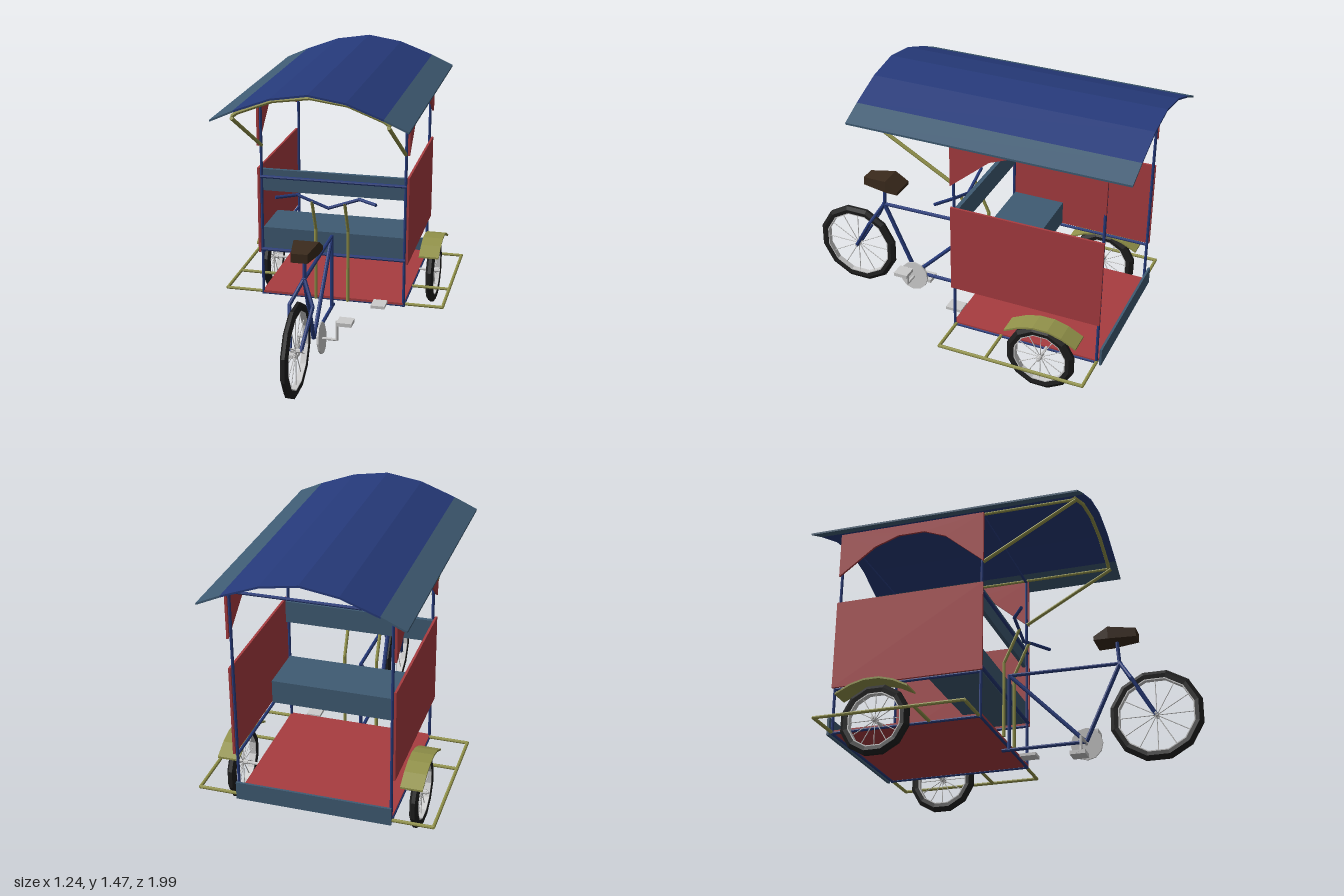
import * as THREE from 'three';

const mat = (color, extra = {}) => new THREE.MeshStandardMaterial({ color, flatShading: true, ...extra });
const BLUE = mat(0x263a7a), TEAL = mat(0x3f5b73), RED = mat(0xa83c40), OLIVE = mat(0x92924a);
const BLACK = mat(0x1e1e1e), METAL = mat(0xcccccc), BROWN = mat(0x3a2a1c);
const V = (p) => new THREE.Vector3(...p);

export function createModel() {
  const model = new THREE.Group();
  model.name = 'pedalRickshaw';

  const add = (name, geo, material, pos = [0, 0, 0], parent = model) => {
    const m = new THREE.Mesh(geo, material);
    m.name = name;
    m.position.set(...pos);
    parent.add(m);
    return m;
  };
  const box = (name, material, size, pos) => add(name, new THREE.BoxGeometry(...size), material, pos);

  // Straight round bars along a list of points
  const bars = (name, material, r, points, parent = model) => {
    const g = new THREE.Group();
    g.name = name;
    for (let i = 0; i < points.length - 1; i++) {
      const a = V(points[i]), b = V(points[i + 1]), d = b.clone().sub(a);
      const geo = new THREE.CylinderGeometry(r, r, d.length() + r * 0.6, 8);
      const m = add(name + 'Bar', geo, material, a.clone().add(b).multiplyScalar(0.5).toArray(), g);
      m.quaternion.setFromUnitVectors(new THREE.Vector3(0, 1, 0), d.normalize());
    }
    parent.add(g);
  };

  // Thin sheet of a given profile, extruded from z0 to z1
  const sheet = (name, material, top, thick, z0, z1, x = 0) => {
    const under = top.map(([px, py]) => [px, py - thick]).reverse();
    const shape = new THREE.Shape([...top, ...under].map((p) => new THREE.Vector2(...p)));
    const geo = new THREE.ExtrudeGeometry(shape, { depth: z1 - z0, bevelEnabled: false });
    return add(name, geo, material, [x, 0, z0]);
  };

  // Wheel with tyre, rim, hub and spokes, axle along x
  const wheel = (name, r, w, pos) => {
    const g = new THREE.Group();
    g.name = name;
    g.position.set(...pos);
    const ring = (part, pts, material) => {
      const geo = new THREE.LatheGeometry(pts.map((p) => new THREE.Vector2(...p)), 12);
      add(part, geo.rotateY(Math.PI / 12).rotateZ(-Math.PI / 2), material, [0, 0, 0], g);
    };
    const ri = r - 0.042, h = w / 2;
    ring('tyre', [[ri, -h * 0.8], [r - 0.02, -h], [r, -h * 0.4], [r, h * 0.4], [r - 0.02, h], [ri, h * 0.8], [ri, -h * 0.8]], BLACK);
    ring('rim', [[ri - 0.006, -h * 0.75], [ri + 0.002, -h * 0.75], [ri + 0.002, h * 0.75], [ri - 0.006, h * 0.75], [ri - 0.006, -h * 0.75]], METAL);
    add('hub', new THREE.CylinderGeometry(0.012, 0.012, w * 1.2, 8).rotateZ(Math.PI / 2), METAL, [0, 0, 0], g);
    for (let i = 0; i < 12; i++) {
      const a = (i / 12) * Math.PI * 2;
      bars('spoke', METAL, 0.0025, [[0, 0, 0], [0, Math.cos(a) * ri, Math.sin(a) * ri]], g);
    }
    model.add(g);
  };

  // Roof: blue centre with teal eaves
  const crown = [[-0.377, 1.38], [-0.19, 1.45], [0, 1.48], [0.19, 1.45], [0.377, 1.38]];
  sheet('roofCentre', BLUE, crown, 0.01, -0.995, 0.495);
  sheet('roofEaveRight', TEAL, [[-0.5, 1.325], [-0.377, 1.38]], 0.01, -0.995, 0.495);
  sheet('roofEaveLeft', TEAL, [[0.377, 1.38], [0.5, 1.325]], 0.01, -0.995, 0.495);

  // Front roof bow
  bars('roofBow', OLIVE, 0.01, [[-0.395, 1.34, 0.45], [-0.37, 1.358, 0.45], [-0.19, 1.427, 0.45],
    [0, 1.453, 0.45], [0.19, 1.427, 0.45], [0.37, 1.358, 0.45], [0.395, 1.34, 0.45]]);

  // Parts repeated on both sides
  for (const s of [-1, 1]) {
    bars('roofRail', OLIVE, 0.008, [[s * 0.395, 1.335, 0.45], [s * 0.395, 1.335, -0.85]]);
    bars('roofStrut', OLIVE, 0.01, [[s * 0.395, 1.05, -0.04], [s * 0.395, 1.33, 0.46]]);
    for (const z of [-0.047, -0.843]) bars('post', BLUE, 0.008, [[s * 0.398, 0.18, z], [s * 0.398, 1.335, z]]);
    bars('sideRail', BLUE, 0.008, [[s * 0.398, 0.425, -0.047], [s * 0.398, 0.425, -0.843]]);
    bars('floorSideRail', BLUE, 0.008, [[s * 0.398, 0.185, -0.047], [s * 0.398, 0.185, -0.843]]);

    box('sidePanel', RED, [0.012, 0.49, 0.818], [s * 0.413, 0.675, -0.444]);

    // Arched valance below the eaves
    const arch = [[0.035, 1.335], [0.035, 1.045], [0.247, 1.227], [0.37, 1.276], [0.52, 1.276],
      [0.654, 1.227], [0.853, 1.08], [0.853, 1.335]];
    const vg = new THREE.ExtrudeGeometry(new THREE.Shape(arch.map((p) => new THREE.Vector2(...p))),
      { depth: 0.012, bevelEnabled: false });
    add('valance', vg.rotateY(Math.PI / 2), RED, [s * 0.413 - 0.006, 0, 0]);

    // Side bumper frame
    bars('sideBumper', OLIVE, 0.009, [[s * 0.4, 0.19, -0.055], [s * 0.612, 0.19, -0.055],
      [s * 0.612, 0.19, -0.845], [s * 0.4, 0.19, -0.845]]);
    bars('bumperCrossBar', OLIVE, 0.009, [[s * 0.4, 0.19, -0.315], [s * 0.612, 0.19, -0.315]]);

    // Cabin wheel with mudguard
    wheel('cabinWheel', 0.188, 0.046, [s * 0.485, 0.193, -0.57]);
    bars('wheelAxle', METAL, 0.008, [[s * 0.4, 0.193, -0.57], [s * 0.52, 0.193, -0.57]]);
    const guard = sheet('mudguard', OLIVE, [[-0.195, 0.345], [-0.115, 0.385], [-0.04, 0.405],
      [0.04, 0.405], [0.115, 0.385], [0.195, 0.345]], 0.01, -0.057, 0.057);
    guard.geometry.translate(0, 0, -0.057).rotateY(Math.PI / 2);
    guard.position.set(s * 0.48, 0, -0.58);

    // Handlebar support and grip
    bars('handleSupport', OLIVE, 0.009, [[s * 0.09, 0.19, -0.025], [s * 0.09, 0.6, -0.025], [s * 0.09, 0.785, 0.06]]);
    bars('handlebar', BLUE, 0.009, [[0, 0.753, 0.057], [s * 0.17, 0.815, 0.057], [s * 0.27, 0.815, 0.125]]);

    // Bent stay holding the cycle wheel
    bars('wheelStay', BLUE, 0.01, [[0, 0.56, 0.575], [s * 0.06, 0.44, 0.645], [s * 0.027, 0.245, 0.755]]);
  }

  // Cabin cross bars
  for (const z of [-0.047, -0.843])
    for (const y of [0.185, 1.328]) bars('crossBar', BLUE, 0.008, [[-0.4, y, z], [0.4, y, z]]);
  bars('seatRail', BLUE, 0.01, [[-0.4, 0.448, -0.043], [0.4, 0.448, -0.043]]);
  bars('backRail', BLUE, 0.009, [[-0.4, 0.87, -0.043], [0.4, 0.87, -0.043]]);

  // Floor, tailboard, bench and backrest
  box('floor', RED, [0.8, 0.014, 0.81], [0, 0.193, -0.445]);
  box('tailboard', TEAL, [0.81, 0.097, 0.012], [0, 0.225, -0.866]);
  box('bench', TEAL, [0.79, 0.13, 0.29], [0, 0.508, -0.2]);
  box('backrest', TEAL, [0.81, 0.122, 0.022], [0, 0.85, -0.062]);

  // Cycle wheel and frame
  wheel('cycleWheel', 0.244, 0.04, [0, 0.247, 0.755]);
  bars('cycleAxle', METAL, 0.007, [[-0.035, 0.247, 0.755], [0.035, 0.247, 0.755]]);
  bars('seatPost', BLUE, 0.01, [[0, 0.69, 0.565], [0, 0.55, 0.575]]);
  bars('seatTube', BLUE, 0.012, [[0, 0.56, 0.578], [0, 0.15, 0.39]]);
  bars('topTube', BLUE, 0.01, [[0, 0.555, 0.578], [0, 0.563, -0.02]]);
  bars('downTube', BLUE, 0.011, [[0, 0.555, -0.015], [0, 0.15, 0.38]]);
  bars('headTube', BLUE, 0.01, [[0, 0.565, -0.025], [0, 0.145, -0.025]]);
  bars('bottomTube', BLUE, 0.01, [[0, 0.145, 0.38], [0, 0.145, -0.06]]);

  // Saddle: box shaped in plan, wedge tapering at both ends
  const saddle = new THREE.BoxGeometry(1, 1, 1, 1, 1, 2);
  const p = saddle.attributes.position;
  const rows = [[0.455, 0.068, 0.675, 0.695], [0.53, 0.066, 0.675, 0.743], [0.675, 0.042, 0.68, 0.727]];
  for (let i = 0; i < p.count; i++) {
    const [z, hw, y0, y1] = rows[Math.round(p.getZ(i) * 2) + 1];
    p.setXYZ(i, Math.sign(p.getX(i)) * hw, p.getY(i) > 0 ? y1 : y0, z);
  }
  saddle.computeVertexNormals();
  add('saddle', saddle, BROWN);

  // Chainring, cranks and pedals
  const ring = add('chainring', new THREE.CylinderGeometry(0.085, 0.085, 0.01, 12).rotateZ(Math.PI / 2), METAL, [0.04, 0.147, 0.38]);
  ring.rotation.z = 0.1;
  bars('crank', METAL, 0.008, [[-0.165, 0.035, 0.38], [-0.085, 0.035, 0.38], [-0.085, 0.145, 0.38],
    [0.122, 0.145, 0.38], [0.122, 0.25, 0.38], [0.2, 0.25, 0.38]]);
  box('pedal', METAL, [0.08, 0.02, 0.08], [0.168, 0.25, 0.38]);
  box('pedal', METAL, [0.08, 0.02, 0.08], [-0.125, 0.035, 0.38]);
  box('brakePedal', METAL, [0.076, 0.016, 0.09], [0.272, 0.2, 0.005]);

  return model;
}
